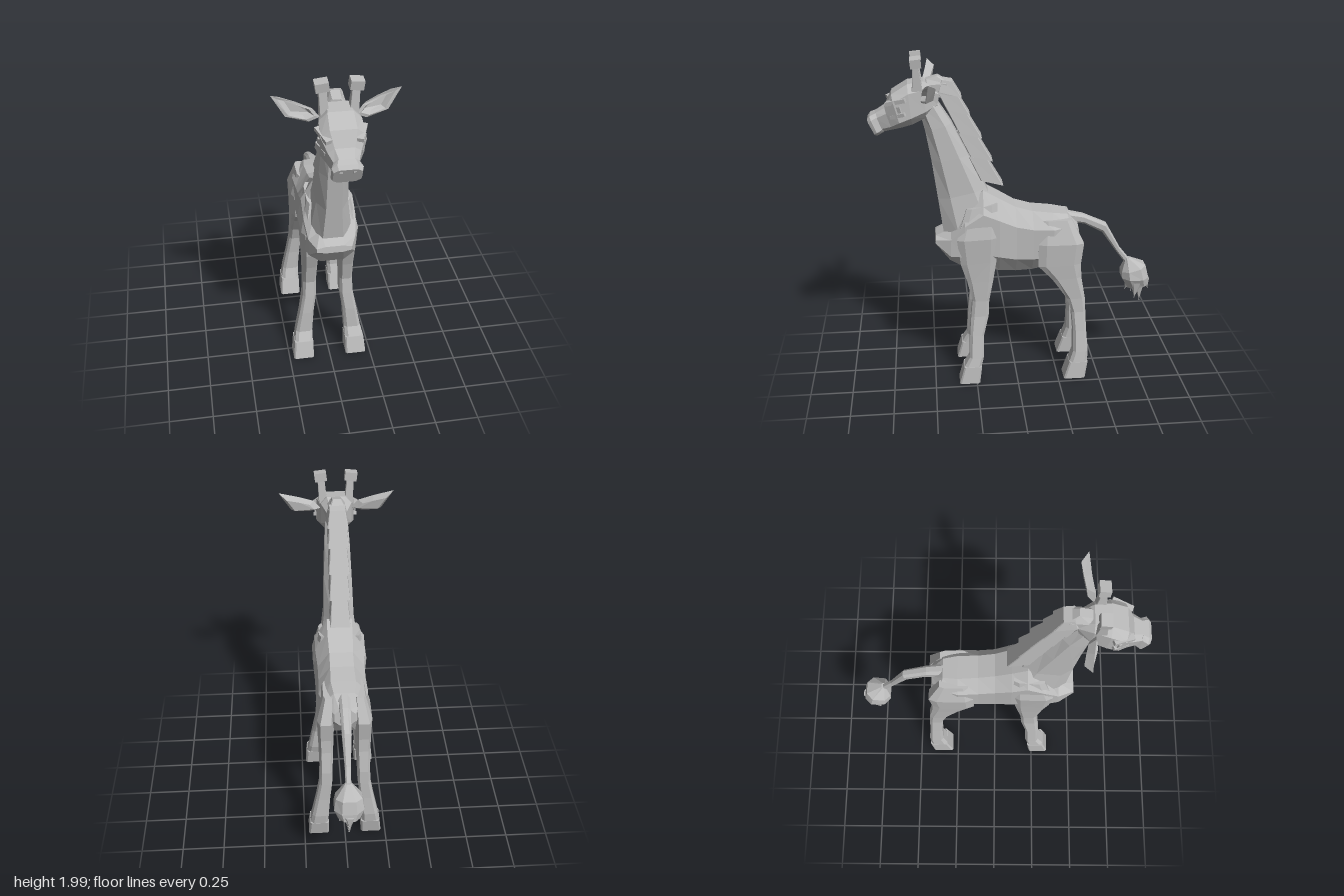
import * as THREE from 'three';

const hide = new THREE.MeshStandardMaterial({ color: 0xbcbcbc, flatShading: true });
hide.name = 'plain grey';

// Eight-sided cross-section spanning (z, y) point A to point B, half-width w, centred on cx
function ring([zA, yA, zB, yB, w, cx = 0], k) {
  const corners = [[1, k], [k, 1], [-k, 1], [-1, k], [-1, -k], [-k, -1], [k, -1], [1, -k]];
  return corners.map(([a, b]) => new THREE.Vector3(
    cx + w * a,
    (yA + yB) / 2 + b * (yB - yA) / 2,
    (zA + zB) / 2 + b * (zB - zA) / 2));
}

// Closed skin over a list of rings, turned outward by the sign of its volume
function skin(rings) {
  const tris = [], n = rings[0].length;
  for (let i = 0; i < rings.length - 1; i++) {
    for (let j = 0; j < n; j++) {
      const a = rings[i][j], b = rings[i][(j + 1) % n];
      const c = rings[i + 1][(j + 1) % n], d = rings[i + 1][j];
      tris.push([a, b, c], [a, c, d]);
    }
  }
  const first = rings[0], last = rings[rings.length - 1];
  for (let j = 1; j < n - 1; j++) {
    tris.push([first[0], first[j + 1], first[j]], [last[0], last[j], last[j + 1]]);
  }
  let volume = 0;
  const cross = new THREE.Vector3(), o = first[0];
  for (const [a, b, c] of tris) {
    volume += a.clone().sub(o).dot(cross.crossVectors(b.clone().sub(o), c.clone().sub(o)));
  }
  const points = tris.flatMap(t => (volume < 0 ? [t[0], t[2], t[1]] : t));
  const geometry = new THREE.BufferGeometry().setFromPoints(points);
  geometry.computeVertexNormals();
  return geometry;
}

export function createModel() {
  const model = new THREE.Group();
  model.name = 'giraffe';

  const add = (name, geometry) => {
    const mesh = new THREE.Mesh(geometry, hide);
    mesh.name = name;
    model.add(mesh);
    return mesh;
  };
  const loft = (name, sections, k = 0.5) => add(name, skin(sections.map(s => ring(s, k))));
  const box = (name, size, position, rotation = [0, 0, 0]) => {
    const mesh = add(name, new THREE.BoxGeometry(...size));
    mesh.position.set(...position);
    mesh.rotation.set(...rotation);
  };

  // Trunk, from rump to chest
  loft('body', [
    [-0.39, 0.86, -0.375, 0.96, 0.06],
    [-0.34, 0.78, -0.31, 1.03, 0.12],
    [-0.22, 0.71, -0.22, 1.045, 0.145],
    [-0.10, 0.685, -0.10, 1.06, 0.14],
    [0.00, 0.68, 0.00, 1.09, 0.14],
    [0.10, 0.69, 0.10, 1.15, 0.15],
    [0.20, 0.70, 0.19, 1.20, 0.15],
    [0.31, 0.72, 0.30, 1.10, 0.15],
    [0.39, 0.765, 0.38, 0.97, 0.135],
    [0.475, 0.88, 0.47, 0.92, 0.10]]);

  loft('neck', [
    [0.08, 1.00, 0.42, 0.92, 0.12],
    [0.17, 1.21, 0.45, 1.15, 0.09],
    [0.27, 1.41, 0.48, 1.38, 0.083],
    [0.36, 1.60, 0.51, 1.56, 0.075],
    [0.46, 1.76, 0.54, 1.68, 0.065]]);

  // Head, from nape to muzzle
  loft('head', [
    [0.44, 1.69, 0.42, 1.79, 0.05],
    [0.50, 1.64, 0.51, 1.845, 0.09],
    [0.58, 1.605, 0.60, 1.835, 0.11],
    [0.64, 1.59, 0.69, 1.78, 0.115],
    [0.69, 1.575, 0.73, 1.70, 0.085],
    [0.75, 1.56, 0.79, 1.665, 0.062]], 0.6);
  loft('muzzle', [
    [0.74, 1.56, 0.78, 1.67, 0.064],
    [0.77, 1.545, 0.815, 1.655, 0.08],
    [0.785, 1.54, 0.83, 1.635, 0.072]], 0.65);

  // Stepped mane tufts, each flaring down to a sharp rear edge
  const mane = [[0.07, 1.22], [0.13, 1.37], [0.19, 1.51], [0.255, 1.645], [0.30, 1.75]];
  mane.forEach(([z, y], i) => {
    const s = i === 4 ? 0.55 : 1;
    loft('maneTuft', [
      [z, y, z + 0.13, y + 0.035, 0.06],
      [z + 0.09 * s, y + 0.16 * s, z + 0.2 * s, y + 0.18 * s, 0.045]], 0.92);
  });
  loft('maneCrown', [
    [0.34, 1.76, 0.45, 1.75, 0.05],
    [0.37, 1.83, 0.50, 1.82, 0.05],
    [0.43, 1.87, 0.50, 1.85, 0.025]], 0.8);

  for (const side of [1, -1]) {
    // Front leg
    loft('frontLeg', [
      [0.11, 1.13, 0.29, 1.10, 0.035, side * 0.09],
      [0.11, 0.93, 0.35, 0.92, 0.055, side * 0.11],
      [0.12, 0.78, 0.33, 0.76, 0.048, side * 0.107],
      [0.14, 0.65, 0.295, 0.65, 0.042, side * 0.108],
      [0.165, 0.52, 0.265, 0.52, 0.038, side * 0.11],
      [0.17, 0.42, 0.275, 0.42, 0.04, side * 0.113],
      [0.20, 0.30, 0.285, 0.30, 0.042, side * 0.132],
      [0.205, 0.16, 0.29, 0.16, 0.05, side * 0.15],
      [0.22, 0.10, 0.325, 0.10, 0.055, side * 0.157]], 0.65);
    loft('frontHoof', [
      [0.218, 0.105, 0.325, 0.105, 0.057, side * 0.157],
      [0.232, 0, 0.355, 0, 0.062, side * 0.162]], 0.85);

    // Hind leg
    loft('hindLeg', [
      [-0.33, 1.01, -0.16, 1.01, 0.03, side * 0.09],
      [-0.40, 0.87, -0.13, 0.87, 0.05, side * 0.11],
      [-0.385, 0.74, -0.13, 0.73, 0.046, side * 0.11],
      [-0.39, 0.65, -0.215, 0.64, 0.042, side * 0.11],
      [-0.415, 0.51, -0.305, 0.51, 0.038, side * 0.112],
      [-0.42, 0.42, -0.335, 0.42, 0.038, side * 0.115],
      [-0.425, 0.30, -0.345, 0.30, 0.042, side * 0.132],
      [-0.435, 0.17, -0.345, 0.17, 0.05, side * 0.15],
      [-0.43, 0.10, -0.32, 0.10, 0.055, side * 0.157]], 0.65);
    loft('hindHoof', [
      [-0.432, 0.105, -0.32, 0.105, 0.057, side * 0.157],
      [-0.415, 0, -0.285, 0, 0.062, side * 0.162]], 0.85);

    // Horn with square cap
    loft('hornPost', [
      [0.515, 1.80, 0.575, 1.80, 0.024, side * 0.075],
      [0.535, 1.94, 0.565, 1.94, 0.02, side * 0.085]], 0.9);
    box('hornCap', [0.07, 0.05, 0.06], [side * 0.088, 1.96, 0.55], [0.1, 0, -side * 0.12]);

    // Hollow ear: back, rim, inner rim, pit
    const rim = [[0.09, 1.77, 0.52], [0.13, 1.82, 0.515], [0.22, 1.855, 0.50],
      [0.335, 1.89, 0.485], [0.265, 1.775, 0.50], [0.15, 1.75, 0.525]];
    const earRing = (scale, dz) => rim.map(([x, y, z]) => new THREE.Vector3(
      side * (0.2 + (x - 0.2) * scale), 1.805 + (y - 1.805) * scale, z + dz));
    add('ear', skin([earRing(0.65, -0.04), earRing(1, 0), earRing(0.75, 0.003), earRing(0.5, -0.025)]));

    // Face details
    box('brow', [0.035, 0.022, 0.12], [side * 0.098, 1.745, 0.665], [0.25, -side * 0.35, 0]);
    box('eye', [0.008, 0.035, 0.06], [side * 0.107, 1.70, 0.665], [0.25, -side * 0.5, 0]);
    box('cheek', [0.03, 0.02, 0.09], [side * 0.1, 1.668, 0.655], [0.3, -side * 0.4, 0]);
    box('nostril', [0.016, 0.02, 0.008], [side * 0.035, 1.61, 0.819], [0.44, 0, 0]);
  }

  // Tail and its pointed tuft
  loft('tail', [
    [-0.32, 0.96, -0.30, 1.03, 0.035],
    [-0.42, 0.945, -0.41, 1.005, 0.03],
    [-0.53, 0.885, -0.555, 0.94, 0.027],
    [-0.62, 0.755, -0.645, 0.775, 0.017],
    [-0.69, 0.66, -0.72, 0.68, 0.016]]);
  loft('tailTuft', [
    [-0.685, 0.70, -0.71, 0.705, 0.018],
    [-0.66, 0.62, -0.805, 0.66, 0.075],
    [-0.662, 0.58, -0.825, 0.58, 0.085],
    [-0.70, 0.51, -0.83, 0.53, 0.06]]);
  const spikes = [[0, -0.785, 0.405], [0, -0.835, 0.49], [0.05, -0.74, 0.45], [-0.05, -0.74, 0.45], [0, -0.69, 0.49]];
  for (const [x, z, y] of spikes) {
    loft('tuftSpike', [
      [z * 0.5 - 0.34, 0.56, z * 0.5 - 0.42, 0.56, 0.035, x * 0.8],
      [z - 0.003, y, z + 0.003, y, 0.003, x]]);
  }

  return model;
}
